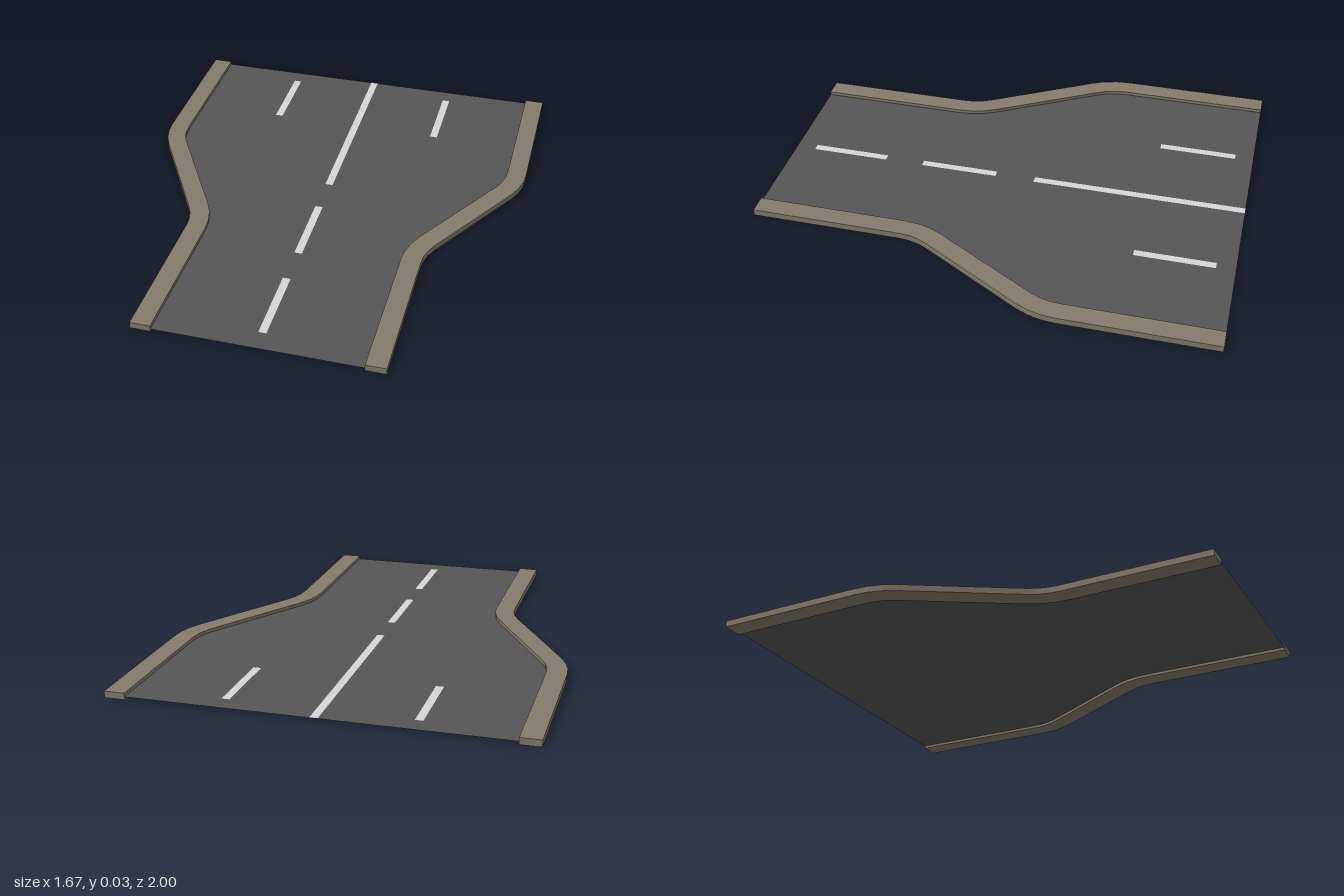
import * as THREE from 'three';

const KERB_HEIGHT = 0.027, ROAD_Y = 0.012;

const flat = (name, color, side = THREE.FrontSide) => {
  const m = new THREE.MeshStandardMaterial({ color, side });
  m.name = name;
  return m;
};

// One edge of the kerb from back to front, with two 30 degree bends.
function edge(wideX, wideRadius, narrowX, narrowRadius) {
  const pts = [[wideX, -1]], steps = 3, bendZ = 0.364;
  for (let i = 0; i <= steps; i++) {
    const a = (Math.PI / 6) * (i / steps);
    pts.push([wideX - wideRadius * (1 - Math.cos(a)), -bendZ + wideRadius * Math.sin(a)]);
  }
  for (let i = steps; i >= 0; i--) {
    const a = (Math.PI / 6) * (i / steps);
    pts.push([narrowX + narrowRadius * (1 - Math.cos(a)), bendZ - narrowRadius * Math.sin(a)]);
  }
  pts.push([narrowX, 1]);
  return pts;
}

// Ground outline: x and z given, laid flat by the -90 degree turn.
const outline = (pts) => new THREE.Shape(pts.map(([x, z]) => new THREE.Vector2(x, -z)));
const mirrored = (pts) => pts.map(([x, z]) => [-x, z]);

export function createModel() {
  const group = new THREE.Group();
  const asphalt = flat('asphalt', 0x555555, THREE.DoubleSide);
  const stone = flat('kerb stone', 0x837b6b);
  const paint = flat('white paint', 0xd6d6d6, THREE.DoubleSide);

  const add = (name, geometry, material, y) => {
    const mesh = new THREE.Mesh(geometry.rotateX(-Math.PI / 2), material);
    mesh.name = name;
    mesh.position.y = y;
    group.add(mesh);
    return mesh;
  };

  const inner = edge(0.75, 0.25, 0.417, 0.333);
  const outer = edge(0.833, 0.333, 0.5, 0.25);

  // Road sheet between the kerbs
  add('roadSurface', new THREE.ShapeGeometry(
    outline([...inner, ...mirrored(inner).reverse()])), asphalt, ROAD_Y);

  // Raised kerbs
  const kerb = [...outer, ...inner.slice().reverse()];
  for (const [name, pts] of [['leftKerb', kerb], ['rightKerb', mirrored(kerb)]]) {
    add(name, new THREE.ExtrudeGeometry(outline(pts),
      { depth: KERB_HEIGHT, bevelEnabled: false }), stone, 0);
  }

  // Painted lines: x, back z, front z
  const lines = [
    ['centreLine', 0, -1, -0.09],
    ['centreDash', 0, 0.08, 0.413],
    ['centreDash', 0, 0.58, 0.913],
    ['leftLaneDash', 0.374, -0.92, -0.587],
    ['rightLaneDash', -0.374, -0.92, -0.587],
  ];
  for (const [name, x, z0, z1] of lines) {
    const line = add(name, new THREE.PlaneGeometry(0.032, z1 - z0), paint, ROAD_Y + 0.0015);
    line.position.x = x;
    line.position.z = (z0 + z1) / 2;
  }
  return group;
}
